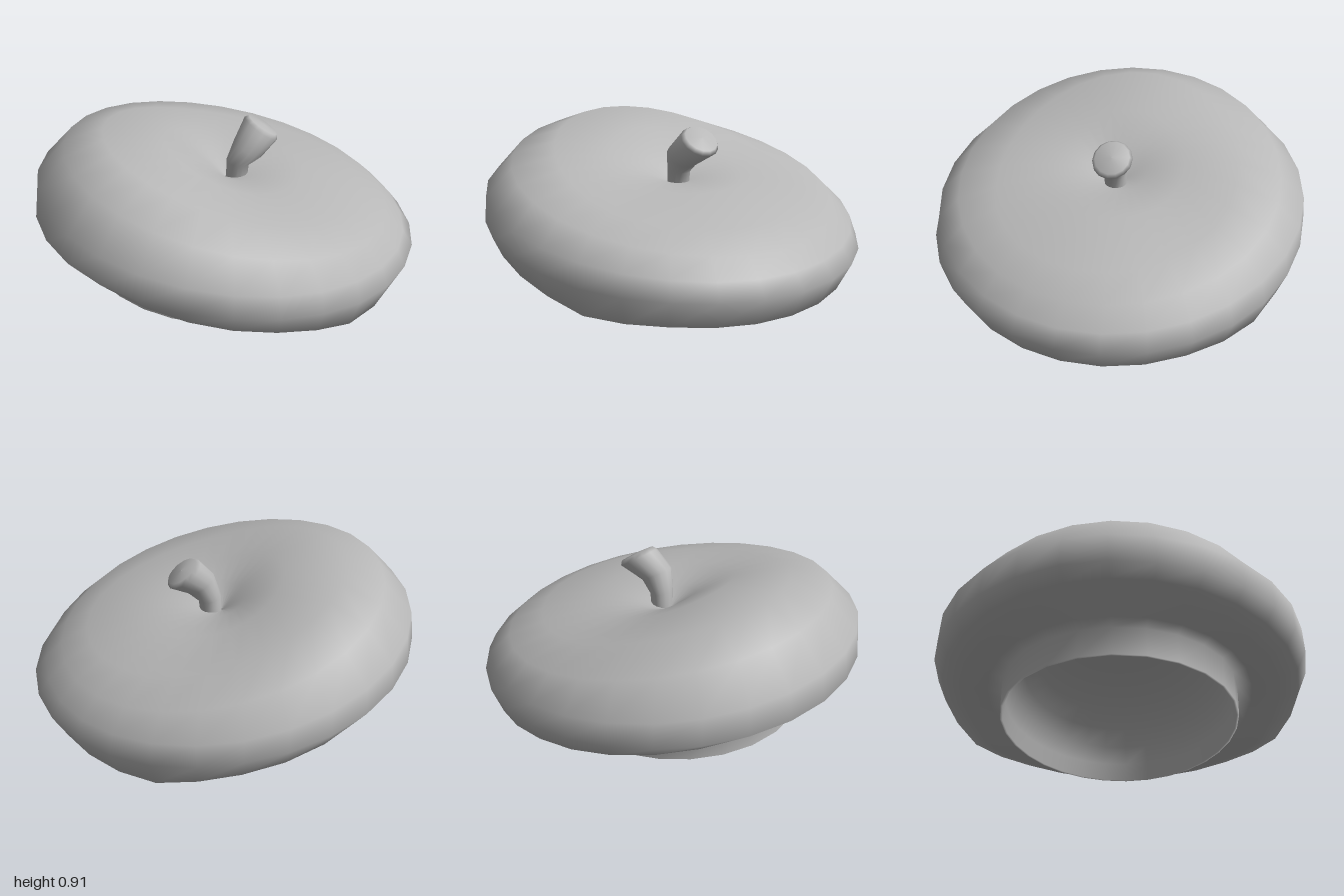
import * as THREE from 'three';

const SIDES = 28;

// Skin a stack of closed rings; ring(i, angle) returns [x, y, z]
function loft(rings, sides, ring) {
  const pos = [], idx = [];
  for (let i = 0; i < rings; i++) {
    for (let j = 0; j < sides; j++) pos.push(...ring(i, (j / sides) * Math.PI * 2));
  }
  for (let i = 0; i < rings - 1; i++) {
    for (let j = 0; j < sides; j++) {
      const k = (j + 1) % sides;
      const a = i * sides + j, b = i * sides + k, c = a + sides, d = b + sides;
      idx.push(a, c, b, b, c, d);
    }
  }
  const g = new THREE.BufferGeometry();
  g.setAttribute('position', new THREE.Float32BufferAttribute(pos, 3));
  g.setIndex(idx);
  g.computeVertexNormals();
  return g;
}

// Profiles [radius, height] from the headband up to the dimple:
// drooping side (+x), middle (+z and -z) and raised side (-x)
const low = [[0.565, 0], [0.56, 0.13], [0.65, 0.11], [0.8, 0.09], [0.92, 0.135], [1, 0.28],
  [0.94, 0.36], [0.85, 0.45], [0.71, 0.535], [0.4, 0.635], [0.15, 0.625], [0.005, 0.6]];
const mid = [[0.6, 0.085], [0.6, 0.24], [0.68, 0.235], [0.81, 0.24], [0.93, 0.28], [0.975, 0.39],
  [0.962, 0.51], [0.84, 0.63], [0.62, 0.685], [0.34, 0.695], [0.15, 0.66], [0.005, 0.6]];
const high = [[0.735, 0.175], [0.72, 0.32], [0.77, 0.35], [0.86, 0.41], [0.93, 0.46], [1, 0.51],
  [0.98, 0.66], [0.83, 0.83], [0.63, 0.905], [0.32, 0.84], [0.12, 0.71], [0.005, 0.6]];
// How far the underside sags where it turns towards the drooping side
const sag = [0, 0.02, 0.04, 0.045, 0.035, 0.01, 0, 0, 0, 0, 0, 0];

// Blend the three profiles around the hat
function hatPoint(i, angle) {
  const c = Math.cos(angle);
  const [r, y] = [0, 1].map((n) => {
    const L = low[i][n], M = mid[i][n], H = high[i][n];
    return M + ((L - H) / 2) * c + ((L + H) / 2 - M) * c * c;
  });
  const drop = sag[i] * Math.exp(-(((c - 0.45) / 0.22) ** 2));
  return [r * c, y - drop, r * Math.sin(angle)];
}

// Domed lining, from its peak down to just inside the headband's rim
const LINING = 9;
const rimCentre = new THREE.Vector3(-0.085, 0.0875, 0);
const rimAxis = new THREE.Vector3(0.134, 0.991, 0);
function liningPoint(i, angle) {
  const t = (1 - i / (LINING - 1)) * (Math.PI / 2 - 0.01);
  return new THREE.Vector3(...hatPoint(0, angle)).sub(rimCentre)
    .multiplyScalar(0.982 * Math.cos(t))
    .add(rimCentre)
    .addScaledVector(rimAxis, 0.48 * Math.sin(t))
    .toArray();
}

// Stem rings: [x, y, z, radius, lean towards +x]
const stemRings = [
  [0.055, 0.57, 0, 0.055, 0.05], [0.062, 0.68, 0.002, 0.06, 0.2], [0.11, 0.76, 0.018, 0.083, 0.57],
  [0.195, 0.845, -0.028, 0.103, 0.62], [0.206, 0.862, -0.03, 0.088, 0.62], [0.21, 0.867, -0.03, 0.002, 0.62],
];
function stemPoint(i, angle) {
  const [x, y, z, r, lean] = stemRings[i];
  const u = r * Math.cos(angle);
  return [x + u * Math.cos(lean), y - u * Math.sin(lean), z + r * Math.sin(angle)];
}

export function createModel() {
  const felt = new THREE.MeshStandardMaterial({ color: 0xb8b8b8 });
  felt.name = 'grey felt';
  const group = new THREE.Group();
  group.name = 'beret';
  const add = (name, geometry) => {
    const mesh = new THREE.Mesh(geometry, felt);
    mesh.name = name;
    group.add(mesh);
  };

  // Lining, rim, headband and puffed crown as one smooth skin; bent stalk in the dimple
  add('liningBandAndCrown', loft(LINING + low.length, SIDES,
    (i, a) => (i < LINING ? liningPoint(i, a) : hatPoint(i - LINING, a))));
  add('stem', loft(stemRings.length, 14, stemPoint));
  return group;
}
